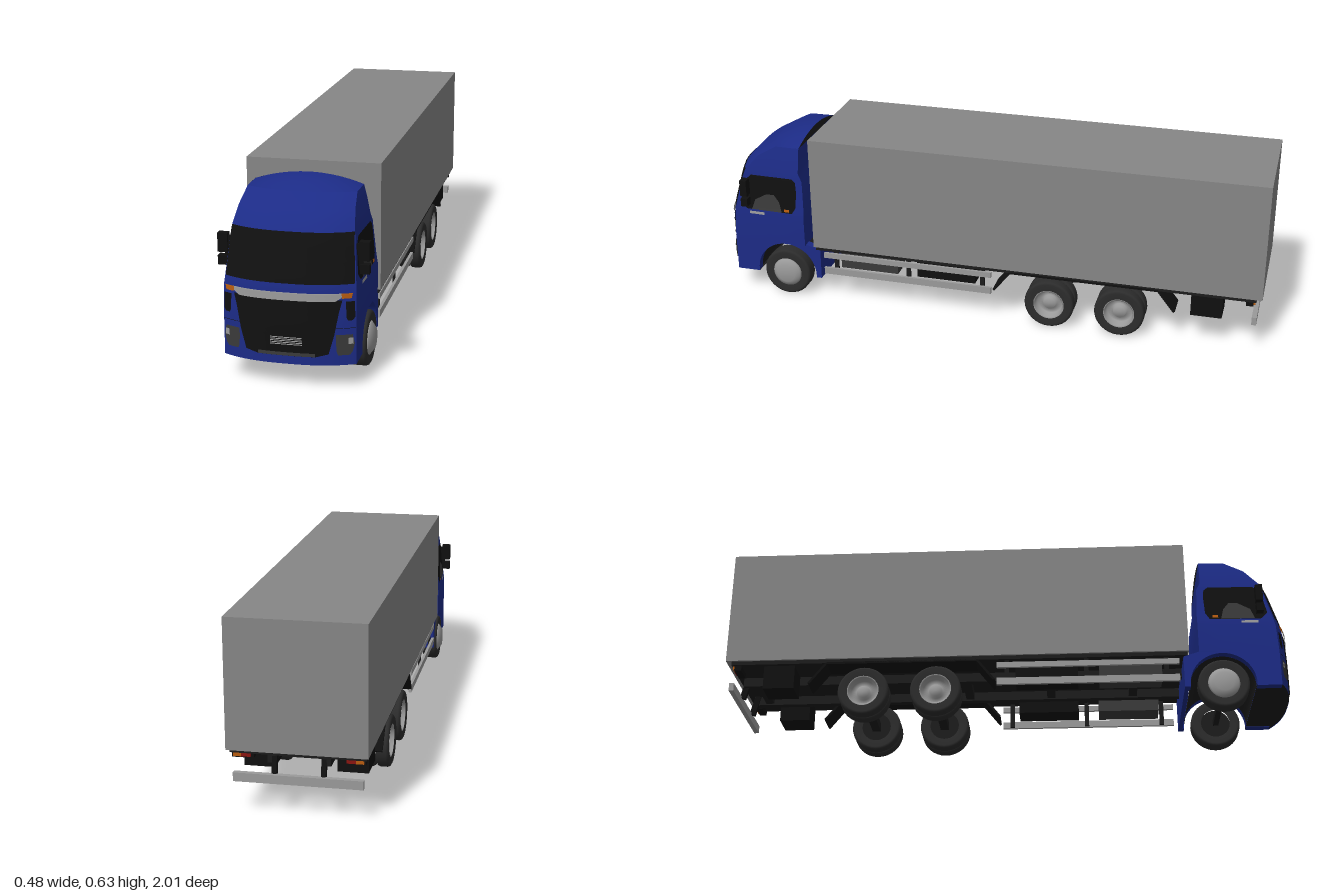
import * as THREE from 'three';

const mat = (name, color, side = THREE.FrontSide) => {
  const m = new THREE.MeshStandardMaterial({ color, side });
  m.name = name;
  return m;
};
const D = THREE.DoubleSide;
const blue = mat('cab blue', 0x1c2b86, D), black = mat('black', 0x101010, D);
const cargoGrey = mat('cargo grey', 0x868686), steel = mat('light steel', 0x9a9a9a, D);
const dark = mat('chassis dark', 0x1c1c1c, D), rubber = mat('tyre rubber', 0x2c2c2c);
const smoke = mat('smoked grey', 0x3a3a3a, D), amber = mat('amber', 0xb85c10, D);
const red = mat('tail red', 0x8a1410);

// Cab levels: y, half width at front, half width at rear, z of nose centre, z of front corner, z of rear wall
const LEVELS = [
  [0.08, 0.21, 0.21, 0.998, 0.955, 0.675],
  [0.21, 0.21, 0.219, 0.998, 0.955, 0.675],
  [0.31, 0.209, 0.22, 0.995, 0.95, 0.675],
  [0.35, 0.205, 0.214, 0.985, 0.94, 0.675],
  [0.46, 0.196, 0.203, 0.952, 0.91, 0.68],
  [0.49, 0.193, 0.198, 0.94, 0.898, 0.695],
  [0.54, 0.184, 0.188, 0.892, 0.855, 0.695],
  [0.58, 0.176, 0.178, 0.82, 0.785, 0.695],
];
function level(y) {
  let i = 0;
  while (i < LEVELS.length - 2 && y > LEVELS[i + 1][0]) i++;
  const a = LEVELS[i], b = LEVELS[i + 1], t = (y - a[0]) / (b[0] - a[0]);
  return a.map((v, k) => v + (b[k] - v) * t);
}
const frontPoint = (x, y, off = 0) => {
  const [, w, , zc, zs] = level(y);
  return [x, y, zc - (zc - zs) * Math.abs(x / w) ** 2.6 + off];
};
const sidePoint = (s, y, z, off = 0) => {
  const [, wf, wr, , zs, zr] = level(y);
  return [s * (wr + (wf - wr) * (z - zr) / (zs - zr) + off), y, z];
};

export function createModel() {
  const root = new THREE.Group();
  const add = (name, geo, m, x = 0, y = 0, z = 0) => {
    const mesh = new THREE.Mesh(geo, m);
    mesh.name = name;
    mesh.position.set(x, y, z);
    root.add(mesh);
    return mesh;
  };
  // Box given by its limits
  const box = (name, m, x0, x1, y0, y1, z0, z1) =>
    add(name, new THREE.BoxGeometry(x1 - x0, y1 - y0, z1 - z0), m, (x0 + x1) / 2, (y0 + y1) / 2, (z0 + z1) / 2);
  // Surface through a grid of points; flip reverses its facing
  const surface = (name, m, rows, flip = false) => {
    const n = rows[0].length, idx = [];
    for (let j = 0; j < rows.length - 1; j++) for (let i = 0; i < n - 1; i++) {
      const a = j * n + i, b = a + 1, c = a + n, d = c + 1;
      idx.push(...(flip ? [a, c, b, b, c, d] : [a, b, c, b, d, c]));
    }
    const g = new THREE.BufferGeometry();
    g.setAttribute('position', new THREE.Float32BufferAttribute(rows.flat(2), 3));
    g.setIndex(idx);
    g.computeVertexNormals();
    return add(name, g, m);
  };
  const span = (a, b, n) => Array.from({ length: n + 1 }, (_, i) => a + (b - a) * i / n);
  // Densify [y, from, to] rows so that plates follow the cab skin
  const fine = (rows) => rows.slice(1).flatMap((r, i) =>
    span(0, 1, 6).map((t) => rows[i].map((v, k) => v + (r[k] - v) * t)));
  const frontPlate = (name, m, rows, off = 0.004) =>
    surface(name, m, fine(rows).map(([y, a, b]) => span(a, b, 14).map((x) => frontPoint(x, y, off))));
  const sidePlate = (name, m, s, rows, off = 0.003) =>
    surface(name, m, fine(rows).map(([y, a, b]) => span(a, b, 6).map((z) => sidePoint(s, y, z, off))), s > 0);

  // Cab skin
  const ts = span(-1, 1, 24);
  const upper = LEVELS.slice(1);
  surface('cabFront', blue, LEVELS.map((l) => ts.map((t) => frontPoint(t * l[1], l[0]))));
  for (const s of [-1, 1])
    surface('cabSide', blue, upper.map((l) => span(l[5], l[4], 4).map((z) => sidePoint(s, l[0], z))), s > 0);
  surface('cabRear', blue, upper.map((l) => [[-l[2], l[0], l[5]], [l[2], l[0], l[5]]]), true);
  const top = LEVELS[LEVELS.length - 1];
  surface('cabRoof', blue, span(0, 1, 6).map((v) => ts.map((t) => {
    const p = frontPoint(t * top[1], top[0]);
    return [p[0] * (1 + 0.01 * v), top[0] + 0.031 * (1 - t * t) * Math.sin(v * Math.PI / 2), p[2] + (top[5] - p[2]) * v];
  })));
  surface('roofRearPanel', dark, [
    ts.map((t) => [t * 0.178, 0.58, 0.695]),
    ts.map((t) => [t * 0.178, 0.58 + 0.031 * (1 - t * t), 0.695])], true);

  // Lower cab sides with wheel arches
  const skirt = new THREE.Shape();
  skirt.moveTo(0.955, 0.08);
  skirt.lineTo(0.955, 0.212);
  skirt.lineTo(0.675, 0.212);
  skirt.lineTo(0.62, 0.195);
  skirt.lineTo(0.62, 0.08);
  skirt.lineTo(0.64, 0.08);
  skirt.absarc(0.755, 0.09, 0.115, Math.PI, 0, true);
  skirt.lineTo(0.87, 0.08);
  for (const s of [-1, 1]) {
    const g = new THREE.ExtrudeGeometry(skirt, { depth: 0.03, bevelEnabled: false, curveSegments: 20 });
    g.rotateY(-Math.PI / 2); // shape x becomes z
    add('wheelArchPanel', g, blue, s > 0 ? 0.21 : -0.18);
  }
  box('rearMudPanel', blue, -0.18, 0.18, 0.08, 0.195, 0.62, 0.635);
  const tunnel = new THREE.CylinderGeometry(0.115, 0.115, 0.36, 24, 1, true, 0, Math.PI);
  tunnel.rotateZ(Math.PI / 2);
  add('wheelTunnel', tunnel, dark, 0, 0.09, 0.755);
  surface('cabFloor', dark, [ts.map((t) => [t * 0.21, 0.082, 0.868]), ts.map((t) => frontPoint(t * 0.21, 0.082))]);

  // Front details
  frontPlate('windscreen', black, [[0.337, -0.203, 0.203], [0.4, -0.199, 0.199], [0.487, -0.193, 0.193]]);
  frontPlate('grille', black, [[0.108, -0.09, 0.09], [0.118, -0.13, 0.13], [0.18, -0.147, 0.147], [0.25, -0.16, 0.16], [0.29, -0.17, 0.17]]);
  frontPlate('grilleTrim', steel, [[0.287, -0.15, 0.15], [0.298, -0.168, 0.168], [0.312, -0.175, 0.175]], 0.007);
  frontPlate('lowerIntake', smoke, [[0.109, -0.09, 0.09], [0.12, -0.09, 0.09]], 0.006);
  for (let i = 0; i < 5; i++)
    frontPlate('intakeMeshBar', steel, [[0.145 + i * 0.0055, -0.05, 0.05], [0.148 + i * 0.0055, -0.05, 0.05]], 0.007);
  frontPlate('seam', black, [[0.199, -0.209, 0.209], [0.2005, -0.209, 0.209]], 0.002);
  for (const s of [-1, 1]) {
    const r = (rows) => rows.map(([y, a, b]) => (s > 0 ? [y, a, b] : [y, -b, -a]));
    frontPlate('turnSignal', amber, r([[0.296, 0.17, 0.197], [0.312, 0.168, 0.2]]), 0.008);
    frontPlate('headlight', smoke, r([[0.114, 0.158, 0.192], [0.125, 0.154, 0.2], [0.15, 0.152, 0.206], [0.18, 0.152, 0.2]]));
    frontPlate('headlightLens', steel, r([[0.15, 0.188, 0.203], [0.17, 0.188, 0.202]]), 0.006);
    frontPlate('cornerVent', black, r([[0.225, 0.186, 0.2], [0.235, 0.182, 0.207], [0.285, 0.18, 0.205]]));

    // Side windows and marker
    sidePlate('sideWindow', black, s, [[0.335, 0.72, 0.9], [0.36, 0.705, 0.925], [0.42, 0.702, 0.912], [0.455, 0.705, 0.895], [0.468, 0.72, 0.88]]);
    sidePlate('windowLowerPane', smoke, s, [[0.336, 0.76, 0.88], [0.375, 0.77, 0.865], [0.4, 0.79, 0.82]], 0.005);
    sidePlate('doorHandle', steel, s, [[0.318, 0.83, 0.89], [0.328, 0.83, 0.89]], 0.004);
    sidePlate('sideMarker', amber, s, [[0.34, 0.73, 0.75], [0.35, 0.73, 0.75]], 0.006);

    // Mirrors
    const mx = (a, b) => (s > 0 ? [a, b] : [-b, -a]);
    box('mainMirror', black, ...mx(0.208, 0.24), 0.396, 0.457, 0.885, 0.91);
    box('wideMirror', black, ...mx(0.21, 0.24), 0.355, 0.385, 0.885, 0.91);
    box('mirrorArm', black, ...mx(0.195, 0.218), 0.365, 0.448, 0.893, 0.903);
  }

  // Cargo body
  box('cargoBody', cargoGrey, -0.222, 0.222, 0.212, 0.635, -1, 0.64);
  box('cargoFloor', dark, -0.215, 0.215, 0.198, 0.2125, -0.98, 0.635);

  // Chassis
  box('axleBeam', dark, -0.16, 0.16, 0.08, 0.1, 0.745, 0.765);
  for (const s of [-1, 1]) {
    const mx = (a, b) => (s > 0 ? [a, b] : [-b, -a]);
    box('frameRail', dark, ...mx(0.075, 0.1), 0.165, 0.2, -0.96, 0.64);
    // Side guards with posts
    box('upperGuard', steel, ...mx(0.203, 0.213), 0.168, 0.188, -0.035, 0.605);
    box('lowerGuard', steel, ...mx(0.203, 0.213), 0.103, 0.128, -0.035, 0.605);
    for (const z of [0.56, 0.28, 0.0]) box('guardPost', dark, ...mx(0.195, 0.203), 0.105, 0.2, z - 0.008, z + 0.008);
    // Tanks and boxes
    box('fuelTank', smoke, ...mx(0.105, 0.19), 0.125, 0.2, 0.325, 0.545);
    box('batteryBox', black, ...mx(0.105, 0.19), 0.125, 0.2, 0.03, 0.25);
    box('rearToolBox', black, ...mx(0.1, 0.2), 0.112, 0.2, -0.865, -0.755);
    // Mudguard strip over the rear axles
    const path = [[-0.045, 0.122], [-0.105, 0.198], [-0.64, 0.198], [-0.7, 0.122]];
    for (let i = 0; i < 3; i++) {
      const [a, b] = [path[i], path[i + 1]], dz = b[0] - a[0], dy = b[1] - a[1];
      const m = add('mudguard', new THREE.BoxGeometry(0.09, 0.008, Math.hypot(dz, dy)), black,
        s * 0.17, (a[1] + b[1]) / 2, (a[0] + b[0]) / 2);
      m.rotation.x = Math.atan2(dy, -dz);
    }
    // Rear bumper bracket and lamp
    const br = box('bumperBracket', black, ...mx(0.07, 0.085), 0.125, 0.2, -0.966, -0.945);
    br.rotation.x = 0.25;
    box('tailLampBase', black, ...mx(0.14, 0.21), 0.18, 0.205, -0.97, -0.945);
    box('tailLamp', red, ...mx(0.15, 0.18), 0.185, 0.2, -0.976, -0.97);
    box('tailSignal', amber, ...mx(0.18, 0.205), 0.185, 0.2, -0.976, -0.97);
  }
  for (const z of [-0.9, -0.6, -0.15, 0.15, 0.45]) box('crossMember', dark, -0.08, 0.08, 0.17, 0.198, z - 0.015, z + 0.015);
  box('rearBumper', steel, -0.205, 0.205, 0.105, 0.134, -0.985, -0.968);

  // Wheels: profiles are radius, distance along the axle
  const lathe = (name, m, s, pts, x, z) => {
    const l = add(name, new THREE.LatheGeometry(pts.map((p) => new THREE.Vector2(...p)), 32), m, s * x, 0.09, z);
    l.rotation.z = -s * Math.PI / 2;
  };
  const tyre = (s, x, z, h) => lathe('tyre', rubber, s,
    [[0.053, -h + 0.004], [0.08, -h], [0.087, -h + 0.004], [0.09, -h + 0.01], [0.09, h - 0.01], [0.087, h - 0.004], [0.08, h], [0.053, h - 0.004]], x, z);
  for (const s of [-1, 1]) {
    tyre(s, 0.186, 0.755, 0.03);
    lathe('frontHub', steel, s, [[0.056, 0], [0.056, 0.026], [0.05, 0.03], [0.034, 0.042], [0, 0.042]], 0.186, 0.755);
    lathe('frontRimBack', dark, s, [[0, -0.01], [0.056, -0.01]], 0.186, 0.755);
    for (const z of [-0.25, -0.505]) {
      tyre(s, 0.195, z, 0.023);
      tyre(s, 0.147, z, 0.022);
      lathe('rearRim', steel, s, [[0.056, 0.02], [0.051, 0.02], [0.046, -0.008], [0.026, -0.008], [0.022, 0.008], [0, 0.008]], 0.195, z);
      lathe('innerRim', dark, s, [[0, -0.01], [0.056, -0.01]], 0.147, z);
    }
  }
  for (const z of [-0.25, -0.505]) box('rearAxle', dark, -0.14, 0.14, 0.075, 0.105, z - 0.015, z + 0.015);
  return root;
}
